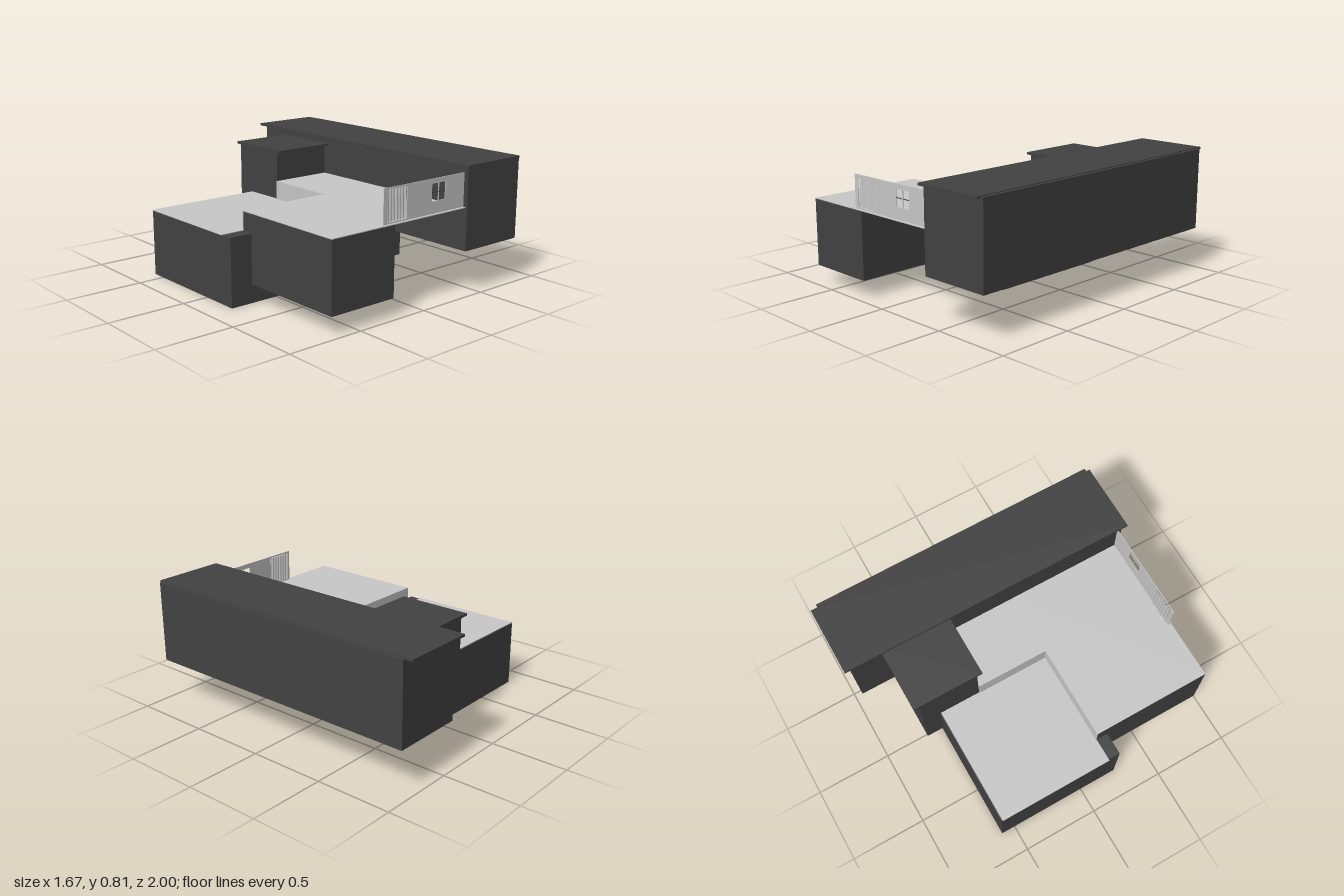
import * as THREE from 'three';

const dark = new THREE.MeshStandardMaterial({ color: 0x424242 });
dark.name = 'charcoal';
const light = new THREE.MeshStandardMaterial({ color: 0xc8c8c8, side: THREE.DoubleSide });
light.name = 'pale grey';

export function createModel() {
  const model = new THREE.Group();
  model.name = 'terracedHouse';

  const add = (name, geometry, material) => {
    const mesh = new THREE.Mesh(geometry, material);
    mesh.name = name;
    model.add(mesh);
    return mesh;
  };
  // Box given by its limits on each axis
  const block = (name, material, [x0, x1], [y0, y1], [z0, z1]) => {
    const mesh = add(name, new THREE.BoxGeometry(x1 - x0, y1 - y0, z1 - z0), material);
    mesh.position.set((x0 + x1) / 2, (y0 + y1) / 2, (z0 + z1) / 2);
  };

  // Dark stacked volumes
  block('baseBlock', dark, [-0.83, 0.255], [0, 0.428], [-0.592, 0.255]);
  block('frontWing', dark, [-0.682, -0.215], [0.115, 0.546], [0.18, 0.965]);
  block('middleWing', dark, [-0.045, 0.42], [0.115, 0.546], [-0.31, 0.38]);
  block('rearTower', dark, [-0.045, 0.42], [0.115, 0.745], [-0.71, -0.31]);
  block('rearTowerRoof', dark, [-0.05, 0.41], [0.743, 0.758], [-0.745, -0.275]);
  block('longUpperBlock', dark, [0.37, 0.835], [0.28, 0.806], [-0.955, 0.978]);
  block('longRoof', dark, [0.345, 0.812], [0.796, 0.811], [-1, 1]);

  // Pale terraces, with the risers of the step between them
  block('lowerTerrace', light, [-0.838, -0.046], [0.428, 0.432], [-0.585, 0.176]);
  block('upperTerrace', light, [-0.682, 0.375], [0.546, 0.551], [0.172, 0.965]);
  block('upperTerraceBack', light, [-0.051, 0.375], [0.546, 0.551], [-0.31, 0.172]);
  block('stepRiserFront', light, [-0.682, -0.046], [0.43, 0.548], [0.172, 0.177]);
  block('stepRiserSide', light, [-0.051, -0.046], [0.43, 0.548], [-0.31, 0.172]);

  // Thin garden wall with a doorway and a window opening
  const rectangle = (target, x0, x1, y0, y1) => target
    .moveTo(x0, y0).lineTo(x1, y0).lineTo(x1, y1).lineTo(x0, y1).closePath();
  const wall = rectangle(new THREE.Shape(), -0.29, 0.375, 0.548, 0.76);
  wall.holes.push(rectangle(new THREE.Path(), -0.26, -0.107, 0.56, 0.75));
  wall.holes.push(rectangle(new THREE.Path(), 0.095, 0.207, 0.625, 0.73));
  add('terraceWall', new THREE.ExtrudeGeometry(wall, { depth: 0.004, bevelEnabled: false }), light)
    .position.z = 0.944;
  block('windowMullion', light, [0.148, 0.154], [0.625, 0.73], [0.944, 0.948]);
  block('windowCrossbar', dark, [0.095, 0.207], [0.675, 0.68], [0.944, 0.947]);

  // Folded curtain hanging in the doorway
  const curtain = new THREE.PlaneGeometry(0.165, 0.19, 48, 6);
  const p = curtain.attributes.position;
  for (let i = 0; i < p.count; i++) {
    const x = p.getX(i), y = p.getY(i);
    p.setZ(i, 0.004 * Math.sin(x * 260 + 0.8 * Math.sin(y * 18)) + 0.002 * Math.sin(x * 90));
  }
  curtain.computeVertexNormals();
  add('doorCurtain', curtain, light).position.set(-0.185, 0.655, 0.937);

  return model;
}
